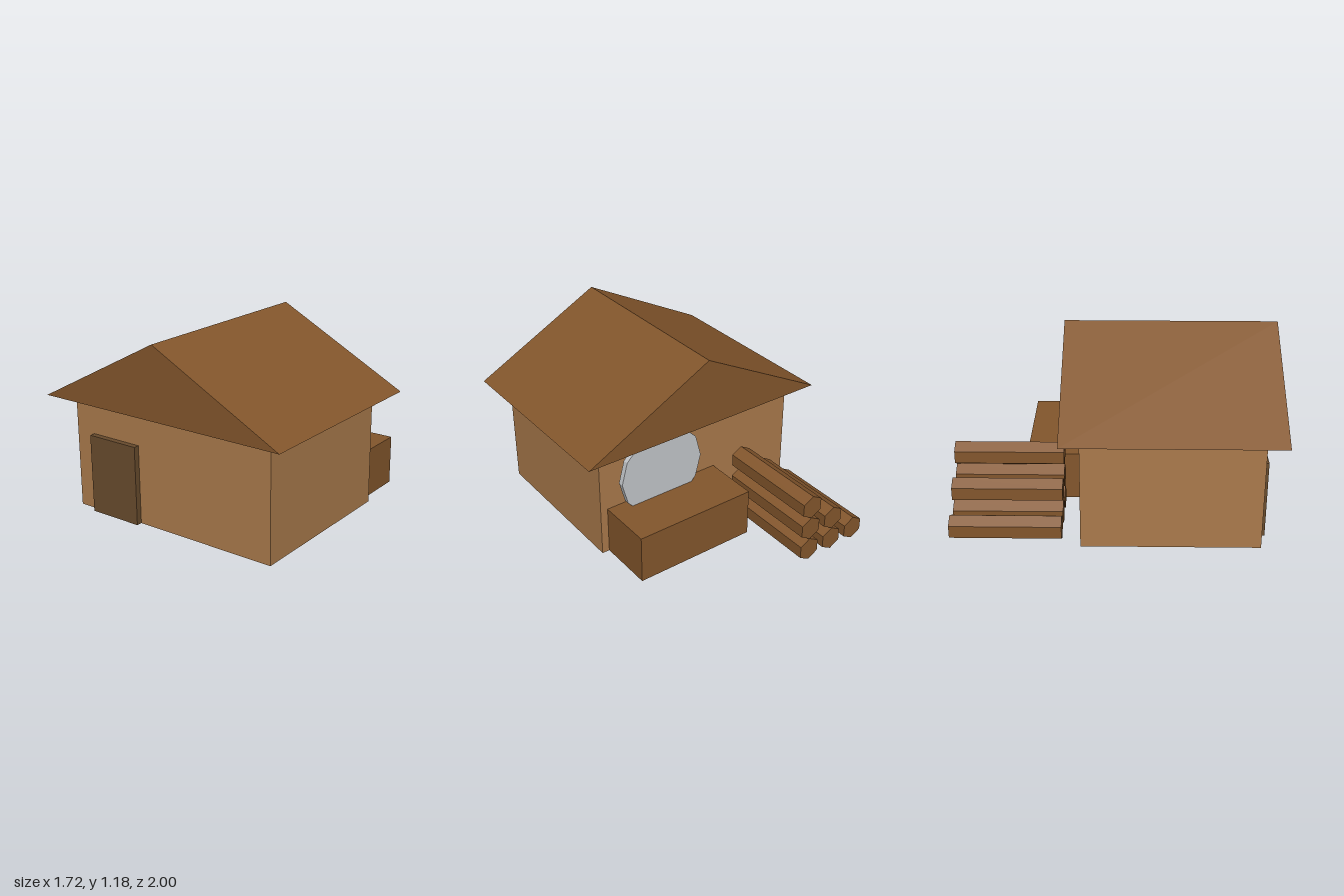
import * as THREE from 'three';

const material = (name, color) => {
  const m = new THREE.MeshStandardMaterial({ color });
  m.name = name;
  m.flatShading = true;
  return m;
};

export function createModel() {
  const model = new THREE.Group();
  model.name = 'sawmill';

  const wallWood = material('wall wood', 0xaa7a4b);
  const darkWood = material('dark wood', 0x83562c);
  const doorWood = material('door wood', 0x684b2d);
  const steel = material('steel', 0xc3c6ca);

  const add = (name, geometry, mat, parent = model) => {
    const mesh = new THREE.Mesh(geometry, mat);
    mesh.name = name;
    parent.add(mesh);
    return mesh;
  };

  // Box given by its limits along each axis
  const box = (name, [x0, x1], [y0, y1], [z0, z1], mat) =>
    add(name, new THREE.BoxGeometry(x1 - x0, y1 - y0, z1 - z0), mat)
      .position.set((x0 + x1) / 2, (y0 + y1) / 2, (z0 + z1) / 2);

  // House body, door and the bench behind it
  box('walls', [-0.727, 0.727], [0, 0.73], [-0.203, 0.886], wallWood);
  box('door', [-0.59, -0.23], [0, 0.502], [0.88, 0.922], doorWood);
  box('sawBench', [-0.138, 0.678], [0, 0.318], [-0.568, -0.2], darkWood);

  // Gabled roof: a triangle extruded along z
  const gable = new THREE.Shape([
    new THREE.Vector2(-0.86, 0.73),
    new THREE.Vector2(0.86, 0.73),
    new THREE.Vector2(0, 1.182),
  ]);
  const roof = new THREE.ExtrudeGeometry(gable, { depth: 1.318, bevelEnabled: false });
  add('roof', roof.translate(0, 0, -0.318), darkWood);

  // Twelve-sided saw blade standing in the bench
  const blade = new THREE.CylinderGeometry(0.295, 0.295, 0.036, 12);
  add('sawBlade', blade.rotateX(Math.PI / 2), steel).position.set(0.31, 0.497, -0.248);

  // Stepped pile of hexagonal logs, lowest on the outside
  const logs = new THREE.Group();
  logs.name = 'logPile';
  model.add(logs);
  const radius = 0.079;
  const logGeometry = new THREE.CylinderGeometry(radius, radius, 0.682, 6).rotateX(Math.PI / 2);
  for (let column = 0; column < 3; column++) {
    for (let row = 0; row <= column; row++) {
      add('log', logGeometry, darkWood, logs)
        .position.set(-0.638 + column * 0.183, radius * (1 + 2 * row), -0.659);
    }
  }

  return model;
}
